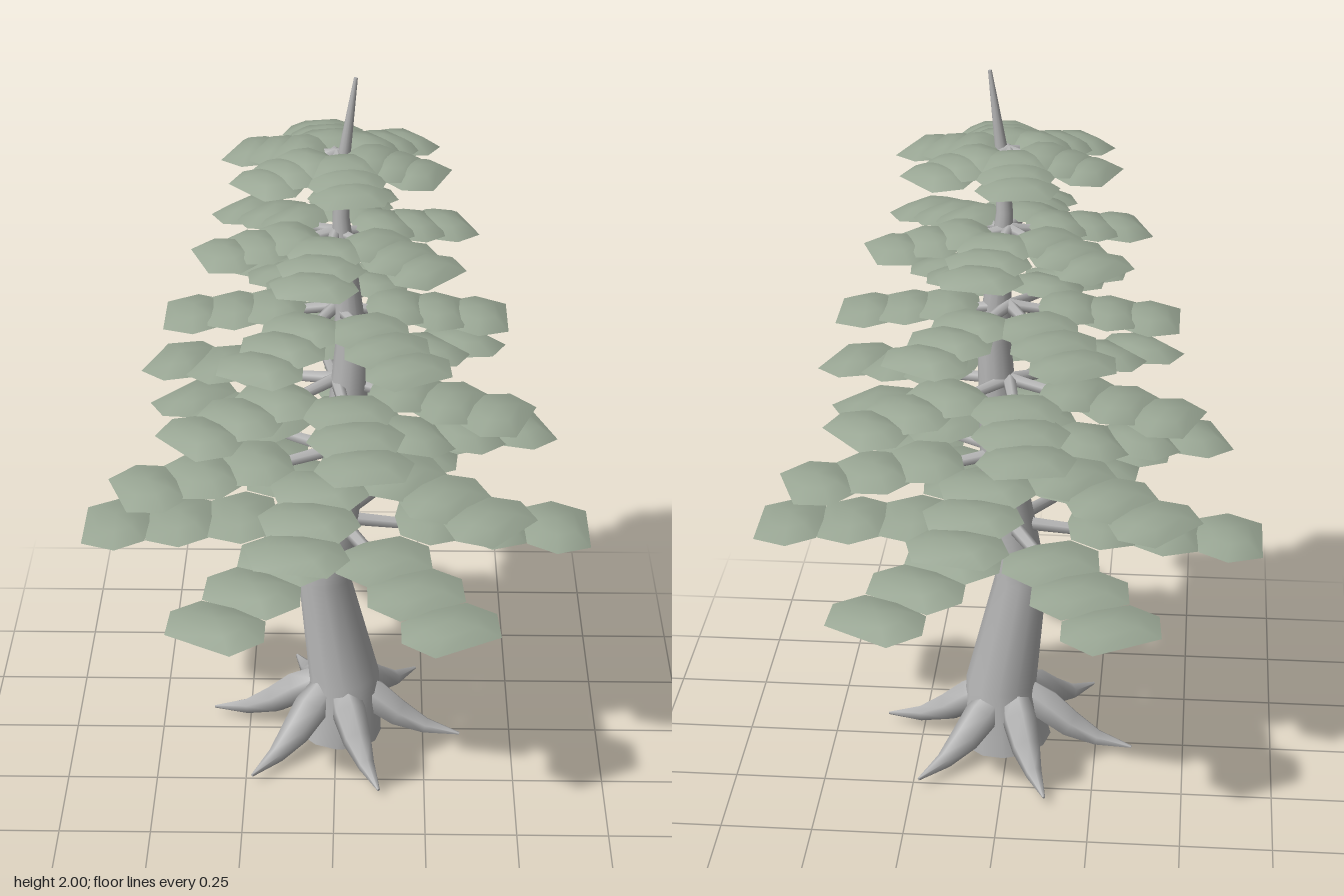
import * as THREE from 'three';

const bark = new THREE.MeshStandardMaterial({ color: 0xb4b4b4 });
bark.name = 'bark grey';
const foliage = new THREE.MeshStandardMaterial({ color: 0x98a593, side: THREE.DoubleSide });
foliage.name = 'foliage green';

const V = (x, y, z) => new THREE.Vector3(x, y, z);

// Capped round limb through centres [x, y, z, radius]; ref fixes the ring direction
function limb(rows, sides, ref) {
  const pos = [], idx = [];
  const c = rows.map(([x, y, z]) => V(x, y, z));
  const last = rows.length - 1;
  const rings = rows.map((row, i) => {
    const t = c[Math.min(i + 1, last)].clone().sub(c[Math.max(i - 1, 0)]).normalize();
    const n1 = ref.clone().addScaledVector(t, -ref.dot(t)).normalize();
    const n2 = t.clone().cross(n1);
    return Array.from({ length: sides }, (_, j) => {
      const a = (j / sides) * Math.PI * 2;
      return c[i].clone()
        .addScaledVector(n1, Math.cos(a) * row[3])
        .addScaledVector(n2, Math.sin(a) * row[3]);
    });
  });
  rings.forEach((ring) => ring.forEach((p) => pos.push(p.x, p.y, p.z)));
  for (let i = 0; i < last; i++) {
    for (let j = 0; j < sides; j++) {
      const k = (j + 1) % sides;
      const a = i * sides + j, b = i * sides + k;
      idx.push(a, b, b + sides, a, b + sides, a + sides);
    }
  }
  // End caps with their own vertices, so the rims stay sharp
  for (const end of [0, last]) {
    const base = pos.length / 3;
    [c[end], ...rings[end]].forEach((p) => pos.push(p.x, p.y, p.z));
    for (let j = 0; j < sides; j++) {
      const a = base + 1 + j, b = base + 1 + ((j + 1) % sides);
      if (end === 0) idx.push(base, b, a);
      else idx.push(base, a, b);
    }
  }
  return finish(pos, idx);
}

function finish(pos, idx) {
  const g = new THREE.BufferGeometry();
  g.setAttribute('position', new THREE.Float32BufferAttribute(pos, 3));
  g.setIndex(idx);
  g.computeVertexNormals();
  return g;
}

// Domed leaf pad: angular outline, broad flat edge facing outwards (+x)
function padGeometry() {
  const outline = [[0.09, -0.1], [0.09, 0.1], [-0.005, 0.145], [-0.085, 0.1],
    [-0.1, 0], [-0.085, -0.1], [-0.005, -0.145]];
  const n = outline.length;
  const pos = [0, 0.03, 0], idx = [];
  for (const [s, h] of [[0.55, 0.022], [1, 0]]) {
    outline.forEach(([x, z]) => pos.push(x * s, h, z * s));
  }
  for (let j = 0; j < n; j++) {
    const a = 1 + j, b = 1 + ((j + 1) % n);
    idx.push(0, b, a, a, b, b + n, a, b + n, a + n);
  }
  return finish(pos, idx);
}

function add(parent, name, geometry, material) {
  const m = new THREE.Mesh(geometry, material);
  m.name = name;
  parent.add(m);
  return m;
}

export function createModel() {
  const tree = new THREE.Group();
  tree.name = 'tree';

  // Crooked trunk
  add(tree, 'trunk', limb([
    [0.005, 0.013, 0.003, 0.125],
    [0.022, 0.2, 0, 0.1],
    [-0.033, 0.53, 0.016, 0.073],
    [0.02, 0.88, 0.006, 0.06],
    [0.042, 1.25, 0.02, 0.045],
    [0.012, 1.62, 0.006, 0.022],
    [0.022, 1.8, 0.01, 0.016],
    [0.05, 2, 0.012, 0.005],
  ], 12, V(1, 0, 0)), bark);

  // Six flared roots
  const rootGeo = limb([
    [0.05, 0.17, 0, 0.04],
    [0.11, 0.13, 0, 0.05],
    [0.18, 0.08, 0, 0.042],
    [0.26, 0.045, 0, 0.024],
    [0.36, 0.03, 0, 0.004],
  ], 6, V(0, 1, 0));
  for (let i = 0; i < 6; i++) {
    add(tree, 'root', rootGeo, bark).rotation.y = -THREE.MathUtils.degToRad(10 + i * 60);
  }

  // Six tiers of six branches, each branch carrying three leaf pads
  const padGeo = padGeometry();
  for (let k = 0; k < 6; k++) {
    const tier = new THREE.Group();
    tier.name = 'tier' + (k + 1);
    tier.position.y = 0.71 + k * 0.216;
    tree.add(tier);

    const size = 1 - k * 0.05;
    const reach = 0.7 - k * 0.082;
    const outer = reach - 0.09 * size;
    const length = outer + 0.03;
    const drop = 0.065 - k * 0.005;
    const thick = 0.022 - k * 0.0015;
    const branchGeo = limb([
      [0, 0, 0, thick],
      [length, -drop, 0, thick * 0.25],
    ], 6, V(0, 1, 0));

    for (let i = 0; i < 6; i++) {
      const branch = new THREE.Group();
      branch.name = 'branch';
      branch.rotation.y = -THREE.MathUtils.degToRad(k * 40 + i * 60);
      tier.add(branch);
      add(branch, 'branchWood', branchGeo, bark);
      [1, 0.71, 0.43].forEach((f, j) => {
        const pad = add(branch, 'leafPad', padGeo, foliage);
        pad.position.set(outer * f, -0.028 + j * 0.012, 0);
        pad.rotation.z = -0.06;
        pad.scale.set(size, 1, size);
      });
    }
  }
  return tree;
}
